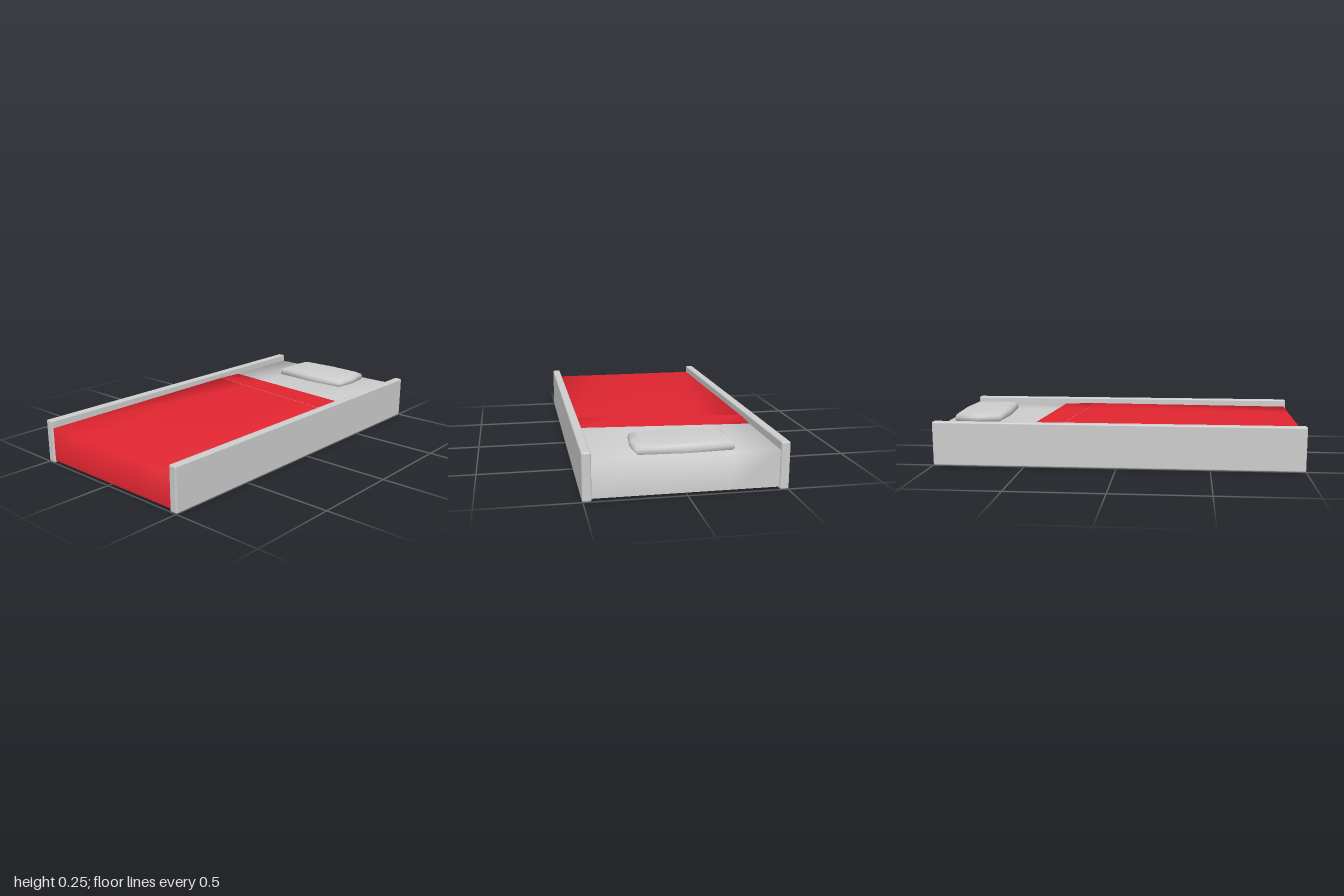
import * as THREE from 'three';
import { RoundedBoxGeometry } from 'three/addons/geometries/RoundedBoxGeometry.js';

const FLOOR = 0.012; // underside of the mattress

// Smooth indexed surface from rows of points; optionally closed around each row
function loft(rows, closed = false) {
  const n = rows[0].length;
  const index = [];
  for (let i = 0; i < rows.length - 1; i++) {
    for (let j = 0; j < (closed ? n : n - 1); j++) {
      const k = (j + 1) % n;
      const a = i * n + j, b = i * n + k, c = a + n, d = b + n;
      index.push(a, b, d, a, d, c);
    }
  }
  const geo = new THREE.BufferGeometry();
  geo.setAttribute('position', new THREE.Float32BufferAttribute(rows.flat(2), 3));
  geo.setIndex(index);
  geo.computeVertexNormals();
  return geo;
}

// One cross row of a cover: skirt, top, skirt. The row may run at a slant in z.
function coverRow(halfWidth, zAtRight, zAtLeft, y) {
  const h = halfWidth;
  return [[-h, FLOOR], [-h, y], [-0.22, y], [0.22, y], [h, y], [h, FLOOR]].map(([x, py]) => {
    const t = (x + h) / (2 * h);
    return [x, py, zAtRight + (zAtLeft - zAtRight) * t];
  });
}

export function createModel() {
  const model = new THREE.Group();
  const grey = new THREE.MeshStandardMaterial({ color: 0xcccccc });
  grey.name = 'light grey';
  const red = new THREE.MeshStandardMaterial({ color: 0xe02530, side: THREE.DoubleSide });
  red.name = 'blanket red';

  const add = (name, geo, mat) => {
    const mesh = new THREE.Mesh(geo, mat);
    mesh.name = name;
    model.add(mesh);
    return mesh;
  };

  // Side rails
  for (const [name, side] of [['leftRail', 1], ['rightRail', -1]]) {
    const rail = add(name, new RoundedBoxGeometry(0.046, 0.24, 2, 2, 0.008), grey);
    rail.position.set(side * 0.481, 0.12, 0);
  }

  // Mattress with softly shaded edges, and its flat underside
  add('mattress', loft([
    coverRow(0.46, 0.98, 0.98, FLOOR),
    coverRow(0.46, 0.98, 0.98, 0.194),
    coverRow(0.46, -0.4, -0.4, 0.199),
    coverRow(0.46, -0.99, -0.99, 0.199),
    coverRow(0.46, -0.99, -0.99, FLOOR),
  ]), grey);
  const base = add('mattressBase', new THREE.PlaneGeometry(0.92, 1.97), grey);
  base.rotation.x = Math.PI / 2;
  base.position.set(0, FLOOR, -0.005);

  // Blanket hanging over the foot end
  add('blanket', loft([
    coverRow(0.462, 0.99, 0.99, FLOOR),
    coverRow(0.462, 0.99, 0.99, 0.198),
    coverRow(0.462, -0.33, -0.23, 0.206),
  ]), red);

  // Slanted turned-back edge of the blanket
  add('blanketFold', loft([
    coverRow(0.462, -0.33, -0.23, 0.207),
    coverRow(0.462, -0.5, -0.42, 0.2),
  ]), red);

  // Pillow: rings of a bulging outline, drawn in towards the top
  const outline = [
    [-0.24, 0.13], [0, 0.145], [0.24, 0.13], [0.253, 0],
    [0.24, -0.13], [0, -0.145], [-0.24, -0.13], [-0.253, 0],
  ];
  const rings = [[0.97, 0.198], [1, 0.208], [1, 0.222], [0.96, 0.236], [0.82, 0.247], [0.001, 0.247]];
  const pillow = loft(rings.map(([s, y]) => outline.map(([x, z]) => [x * s, y, z * s])), true);
  add('pillow', pillow, grey).position.z = -0.82;

  return model;
}
